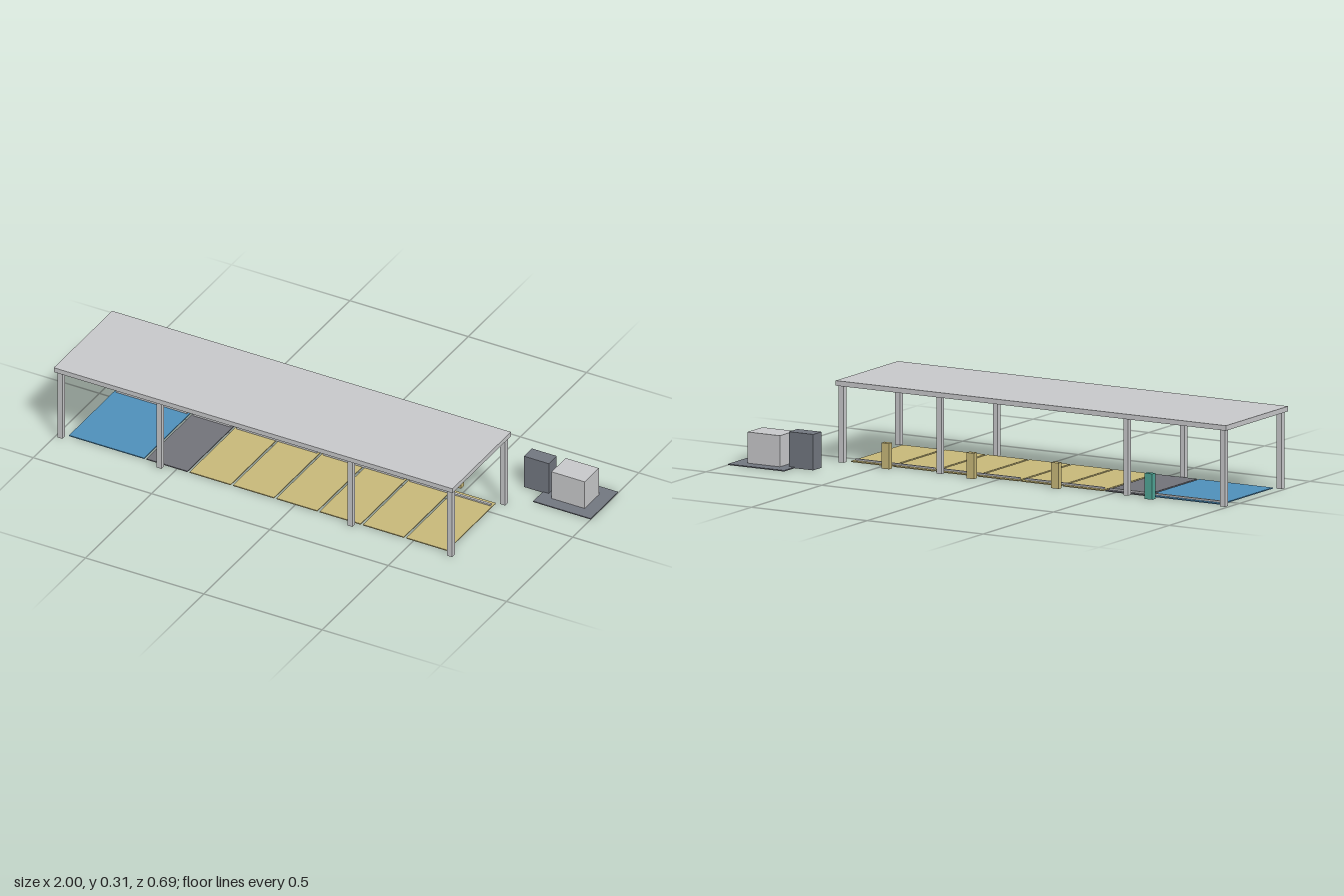
import * as THREE from 'three';

const mat = (name, color) => {
  const m = new THREE.MeshStandardMaterial({ color });
  m.name = name;
  return m;
};

export function createModel() {
  const model = new THREE.Group();
  model.name = 'chargingCarport';

  const lightGrey = mat('light grey', 0xc8c9cb);
  const slate = mat('slate grey', 0x727780);
  const asphalt = mat('asphalt grey', 0x72737a);
  const sand = mat('sand yellow', 0xc8b97a);
  const blue = mat('blue', 0x4f90bb);
  const teal = mat('teal', 0x50a697);

  // Box given by its limits on each axis
  const box = (name, material, [x0, x1], [y0, y1], [z0, z1]) => {
    const mesh = new THREE.Mesh(new THREE.BoxGeometry(x1 - x0, y1 - y0, z1 - z0), material);
    mesh.position.set((x0 + x1) / 2, (y0 + y1) / 2, (z0 + z1) / 2);
    mesh.name = name;
    model.add(mesh);
  };

  // Flat canopy on two rows of square columns
  box('canopyRoof', lightGrey, [-1, 0.685], [0.289, 0.308], [-0.097, 0.345]);
  for (const x of [-0.979, -0.561, 0.246, 0.668]) {
    for (const z of [-0.076, 0.325]) {
      box('column', lightGrey, [x - 0.0105, x + 0.0105], [0, 0.289], [z - 0.0105, z + 0.0105]);
    }
  }

  // Parking bays with narrow gaps between them
  const gap = 0.005, pitch = 0.183, first = -0.451;
  const bay = (name, material, x0, x1) =>
    box(name, material, [x0 + gap, x1 - gap], [0, 0.004], [-0.059, 0.308]);
  bay('accessibleBay', blue, -0.961, first - pitch);
  bay('accessAisle', asphalt, first - pitch, first);
  for (let i = 0; i < 6; i++) {
    bay('chargingBay', sand, first + i * pitch, first + (i + 1) * pitch);
  }

  // Low wheel stops, one to each pair of charging bays
  const stop = (x0, x1) =>
    box('wheelStop', lightGrey, [x0 + 0.013, x1 - 0.013], [0.003, 0.01], [-0.041, -0.031]);
  stop(-0.961, first - pitch);
  stop(first - pitch, first);

  // Charging posts behind the bays
  const charger = (name, material, x) =>
    box(name, material, [x - 0.016, x + 0.016], [0, 0.097], [-0.108, -0.086]);
  charger('accessibleCharger', teal, -0.672);
  for (let i = 0; i < 3; i++) {
    const x = first + 2 * i * pitch;
    stop(x, x + 2 * pitch);
    charger('charger', sand, x + pitch);
  }

  // Transformer on its pad, with a switch cabinet at its side
  box('transformerPad', slate, [0.757, 1], [0, 0.004], [-0.345, -0.137]);
  box('transformer', lightGrey, [0.807, 0.947], [0.002, 0.121], [-0.293, -0.186]);
  box('switchCabinet', slate, [0.677, 0.782], [0, 0.135], [-0.27, -0.21]);

  return model;
}
